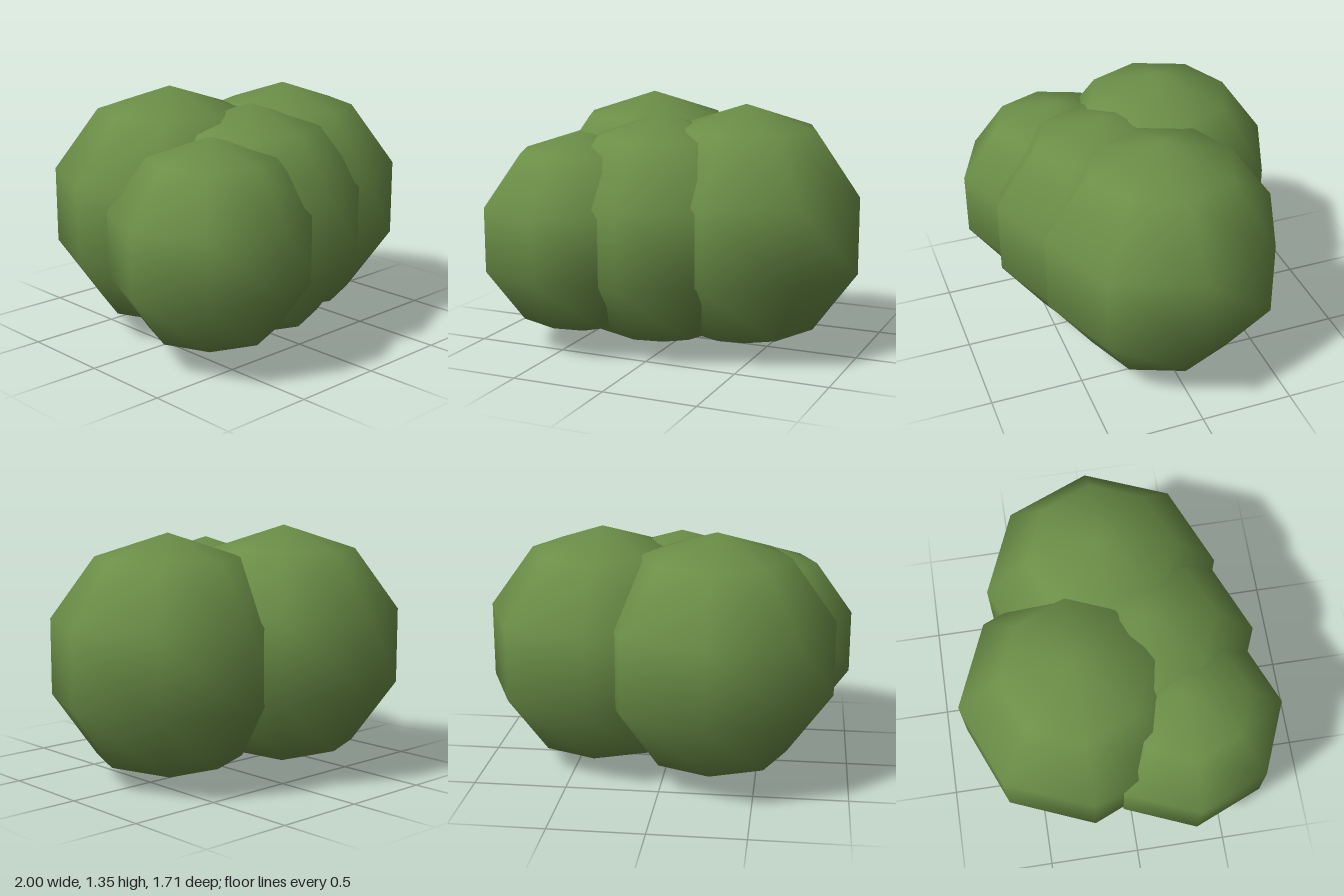
import * as THREE from 'three';

export function createModel() {
  const group = new THREE.Group();
  group.name = 'bush';

  const leafGreen = new THREE.MeshStandardMaterial({ color: 0x6b8e47 });
  leafGreen.name = 'leafGreen';

  // Overlapping low-poly foliage clumps: name, radius, centre
  const clumps = [
    ['leftClump', 0.663, [0.365, 0.665, 0]],
    ['backClump', 0.663, [-0.275, 0.69, -0.225]],
    ['middleClump', 0.637, [-0.05, 0.643, 0.163]],
    ['rightFrontClump', 0.56, [-0.468, 0.622, 0.318]],
  ];

  for (const [name, radius, centre] of clumps) {
    const clump = new THREE.Mesh(new THREE.SphereGeometry(radius, 8, 5), leafGreen);
    clump.name = name;
    clump.position.set(...centre);
    group.add(clump);
  }

  return group;
}
